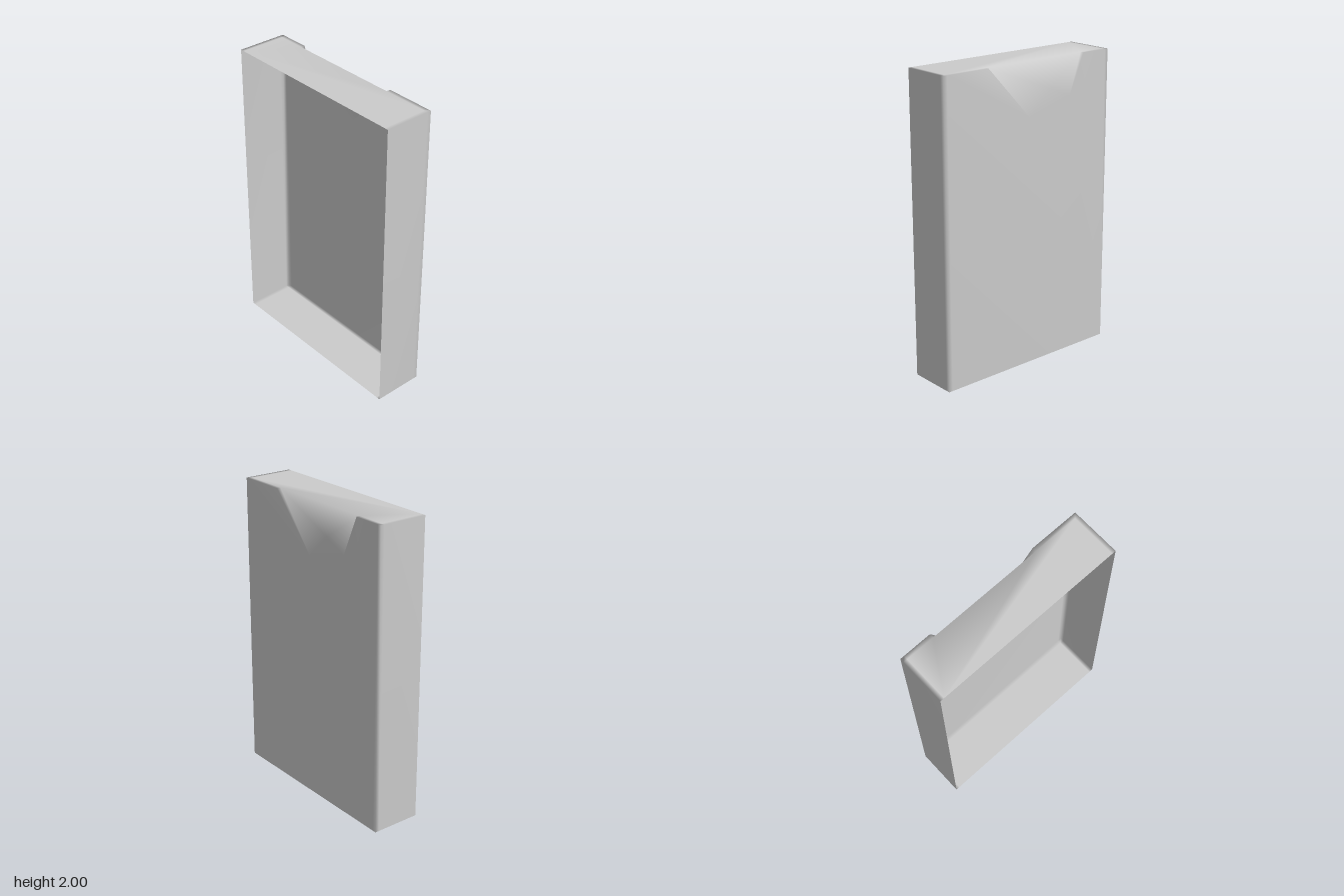
import * as THREE from 'three';
import { mergeVertices } from 'three/addons/utils/BufferGeometryUtils.js';

const W = 0.667, D = 0.167, H = 2;   // half width, half depth, height
const X = 0.64, Z = -0.14;           // support loops beside the sharp edges

// Zigzag edge of the dent on the back wall, and its pushed-in top edge
const [p0, p1, p2, p3, p4] = [[-0.45, H], [-0.335, 1.74], [-0.17, 1.81], [0, 1.65], [0.33, H]]
  .map(([x, y]) => [x, y, -D]);
const a = [-0.45, H, Z], b = [0.33, H, Z];

export function createModel() {
  const positions = [];

  // Flat polygon perpendicular to an axis (0 x, 1 y, 2 z), facing the given sign
  function polygon(points, axis, sign) {
    const u = (axis + 1) % 3, v = (axis + 2) % 3;
    let contour = points.map(p => new THREE.Vector2(p[u], p[v]));
    if (THREE.ShapeUtils.isClockWise(contour)) {
      contour.reverse();
      points = [...points].reverse();
    }
    for (const t of THREE.ShapeUtils.triangulateShape(contour, [])) {
      const order = sign > 0 ? t : [t[0], t[2], t[1]];
      for (const i of order) positions.push(...points[i]);
    }
  }

  // Back wall: a strip down each side and a notched middle
  for (const s of [-1, 1]) {
    polygon([[s * W, 0, -D], [s * X, 0, -D], [s * X, H, -D], [s * W, H, -D]], 2, -1);
  }
  polygon([[-X, 0, -D], [X, 0, -D], [X, H, -D], p4, p3, p2, p1, p0, [-X, H, -D]], 2, -1);

  // Side walls, split at the support loop
  for (const s of [-1, 1]) for (const [z0, z1] of [[D, Z], [Z, -D]]) {
    polygon([[s * W, 0, z0], [s * W, 0, z1], [s * W, H, z1], [s * W, H, z0]], 0, s);
  }

  // Top and bottom panels; the top's rear strip is open above the dent
  const rect = (x0, x1, z0, z1, y) =>
    polygon([[x0, y, z0], [x1, y, z0], [x1, y, z1], [x0, y, z1]], 1, y > 0 ? 1 : -1);
  for (const y of [0, H]) for (const [z0, z1] of [[D, Z], [Z, -D]]) {
    rect(-W, -X, z0, z1, y);
    rect(X, W, z0, z1, y);
  }
  rect(-X, X, D, Z, 0);
  rect(-X, X, Z, -D, 0);
  polygon([[-X, H, D], [X, H, D], [X, H, Z], b, a, [-X, H, Z]], 1, 1);
  rect(-X, a[0], Z, -D, H);
  rect(b[0], X, Z, -D, H);

  // Dent leaning inward from the zigzag edge to the top panel
  for (const tri of [[a, p1, p0], [a, p2, p1], [a, b, p2], [b, p3, p2], [b, p4, p3]]) {
    positions.push(...tri.flat());
  }

  let geometry = new THREE.BufferGeometry();
  geometry.setAttribute('position', new THREE.Float32BufferAttribute(positions, 3));
  geometry = mergeVertices(geometry);
  geometry.computeVertexNormals();

  const tray = new THREE.Mesh(geometry,
    new THREE.MeshStandardMaterial({ color: 0xcccccc, side: THREE.DoubleSide }));
  tray.name = 'dentedOpenTray';
  const group = new THREE.Group();
  group.name = 'openTray';
  group.add(tray);
  return group;
}
